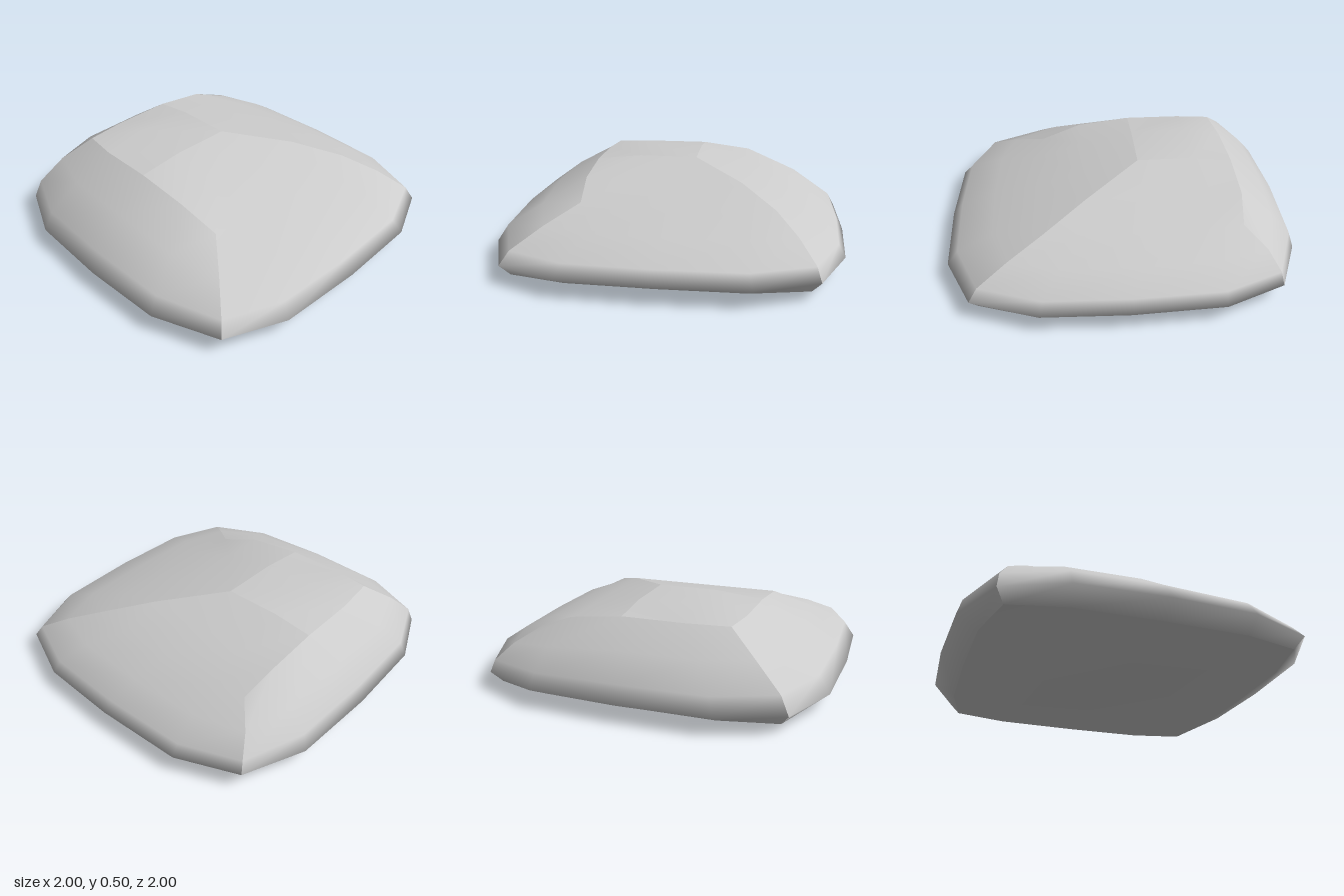
import * as THREE from 'three';
import { mergeVertices } from 'three/addons/utils/BufferGeometryUtils.js';

// Cross-section levels, underside to crown. Each is a 5 x 5 net:
// x runs right to left side, z runs front to back, h is the height profile
// along both axes, bow pulls the corners inwards.
const LEVELS = [
  { x: [-0.87, -0.48, 0, 0.48, 0.87], z: [0.87, 0.48, 0, -0.48, -0.87], h: [0.035, 0.01, 0, 0.01, 0.035], bow: 0.08, under: true },
  { x: [-1, -0.5, 0, 0.47, 1], z: [1, 0.5, 0, -0.5, -1], h: [0.1, 0.1, 0.1, 0.1, 0.1], bow: 0.165 },
  { x: [-0.97, -0.5, -0.02, 0.45, 0.94], z: [0.94, 0.47, 0, -0.48, -0.96], h: [0.2, 0.2, 0.2, 0.19, 0.17], bow: 0.15 },
  { x: [-0.86, -0.48, -0.07, 0.36, 0.73], z: [0.75, 0.38, -0.03, -0.46, -0.82], h: [0.335, 0.345, 0.335, 0.3, 0.26], bow: 0.1 },
  { x: [-0.68, -0.45, -0.12, 0.2, 0.47], z: [0.52, 0.25, -0.1, -0.4, -0.63], h: [0.457, 0.5, 0.485, 0.42, 0.34], bow: 0.03 },
];
const CROWN = LEVELS.length - 1;

// Point of a level's net
function point(level, i, j) {
  const { x, z, h, bow, under } = LEVELS[level];
  const pull = (edge, along) =>
    edge % 4 === 0 ? Math.sign(edge - 2) * bow * Math.abs((along - 2) / 2) ** 3 : 0;
  const y = under ? Math.max(h[i], h[j]) : Math.min(h[i], h[j]);
  return [x[i] - pull(i, j), y, z[j] + pull(j, i)];
}

// Smooth surface through rows of points; edges between patches stay sharp
function patch(name, rows, material) {
  const n = rows[0].length;
  const index = [];
  for (let r = 0; r < rows.length - 1; r++) {
    for (let c = 0; c < n - 1; c++) {
      const a = r * n + c, d = a + n;
      index.push(a, a + 1, d + 1, a, d + 1, d);
    }
  }
  let geometry = new THREE.BufferGeometry();
  geometry.setAttribute('position', new THREE.Float32BufferAttribute(rows.flat(2), 3));
  geometry.setIndex(index);
  geometry = mergeVertices(geometry);
  geometry.computeVertexNormals();
  const mesh = new THREE.Mesh(geometry, material);
  mesh.name = name;
  return mesh;
}

const grid = (rowCount, colCount, at) =>
  Array.from({ length: rowCount }, (_, r) => Array.from({ length: colCount }, (_, c) => at(r, c)));

export function createModel() {
  const group = new THREE.Group();
  group.name = 'pebble';
  const material = new THREE.MeshStandardMaterial({ color: 0xcccccc });
  const add = (name, rows) => group.add(patch(name, rows, material));

  // Steep front and right-hand walls
  add('frontWall', grid(5, 5, (r, c) => point(r, c, 0)));
  add('rightWall', grid(5, 5, (r, c) => point(r, 0, 4 - c)));

  // Left and back walls run on as long slopes that meet on a diagonal ridge
  add('leftSlope', grid(7, 5, (r, c) => {
    const k = 4 - Math.max(0, r - CROWN);
    return point(Math.min(r, CROWN), k, Math.min(c, k));
  }));
  add('backSlope', grid(7, 5, (r, c) => {
    const k = 4 - Math.max(0, r - CROWN);
    return point(Math.min(r, CROWN), Math.min(4 - c, k), k);
  }));

  // Gently domed crown and underside
  add('crown', grid(3, 3, (r, c) => point(CROWN, c, r)));
  add('underside', grid(5, 5, (r, c) => point(0, c, 4 - r)));

  return group;
}
